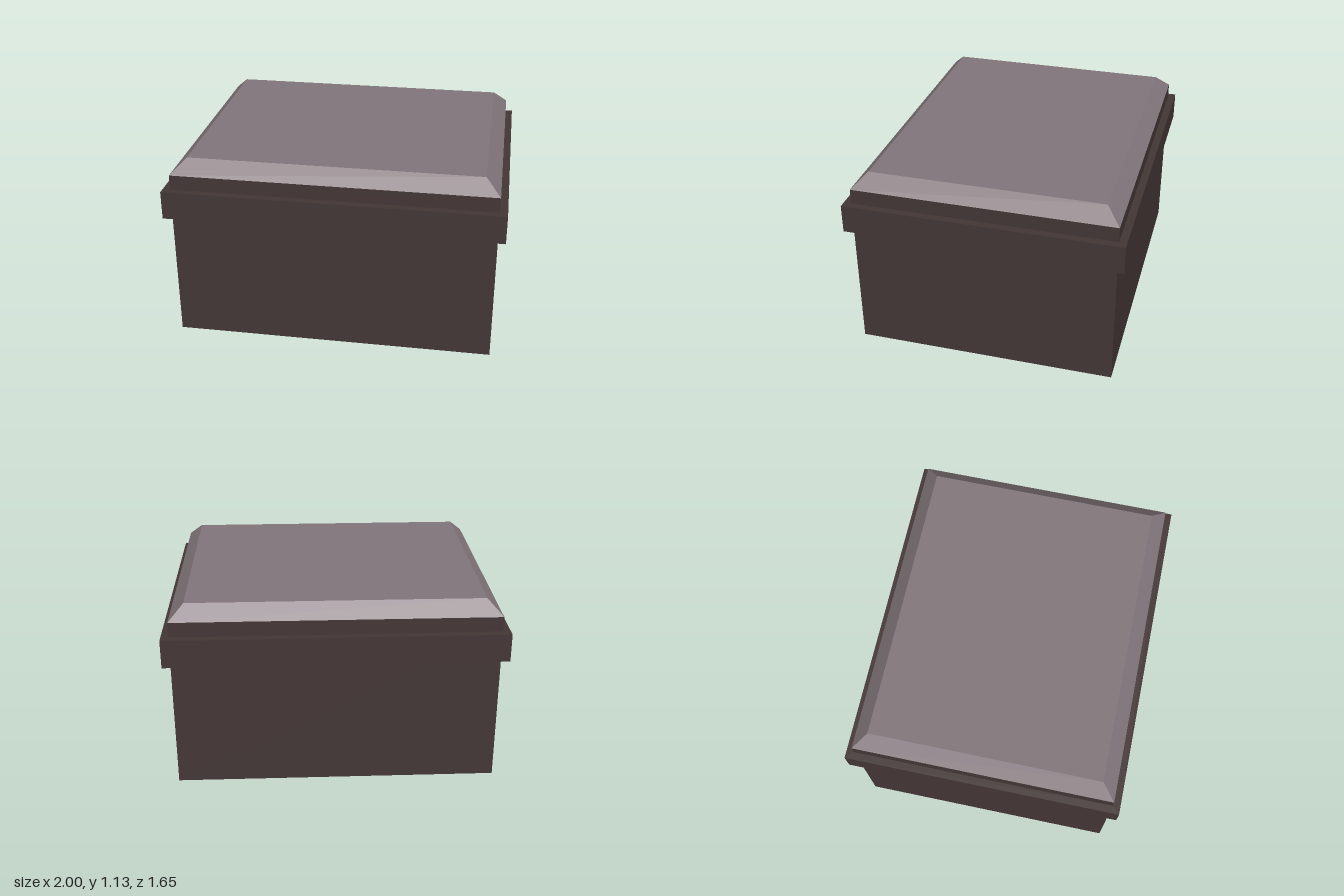
import * as THREE from 'three';

// Joins rectangular sections [halfWidth, halfDepth, y] into a flat-faced shell.
function loft(sections, capBottom = false, capTop = false) {
  const rings = sections.map(([w, d, y]) => [[-w, y, d], [w, y, d], [w, y, -d], [-w, y, -d]]);
  const positions = [];
  const quad = (a, b, c, d) => positions.push(...a, ...b, ...c, ...a, ...c, ...d);
  for (let r = 0; r < rings.length - 1; r++) {
    for (let i = 0; i < 4; i++) {
      const j = (i + 1) % 4;
      quad(rings[r][i], rings[r][j], rings[r + 1][j], rings[r + 1][i]);
    }
  }
  if (capBottom) quad(...[...rings[0]].reverse());
  if (capTop) quad(...rings[rings.length - 1]);
  const geometry = new THREE.BufferGeometry();
  geometry.setAttribute('position', new THREE.Float32BufferAttribute(positions, 3));
  geometry.computeVertexNormals();
  return geometry;
}

export function createModel() {
  const group = new THREE.Group();
  group.name = 'liddedBox';

  const darkBrown = new THREE.MeshStandardMaterial({ color: 0x443736, side: THREE.DoubleSide });
  darkBrown.name = 'darkBrown';
  const mauveGrey = new THREE.MeshStandardMaterial({ color: 0x82767b, side: THREE.DoubleSide });
  mauveGrey.name = 'mauveGrey';

  const add = (name, geometry, material) => {
    const mesh = new THREE.Mesh(geometry, material);
    mesh.name = name;
    group.add(mesh);
  };

  const W = 0.955, D = 0.78;            // body half sizes
  const bandLow = 0.785, bandHigh = 0.956, rimTop = 1.046;

  // Thin walls, open underneath
  add('walls', loft([[W, D, 0], [W, D, bandHigh]]), darkBrown);

  // Projecting band around the top of the walls
  add('band', loft([
    [W, D, bandLow], [1, 0.825, bandLow], [1, 0.825, bandHigh], [W, D, bandHigh],
  ]), darkBrown);

  // Upright rim of the lid, whose underside closes the inside
  add('lidRim', loft([[W, D, bandHigh], [W, D, rimTop]], true), darkBrown);

  // Bevelled lid top
  add('lidTop', loft([[W, D, rimTop], [0.868, 0.695, 1.13]], false, true), mauveGrey);

  return group;
}
